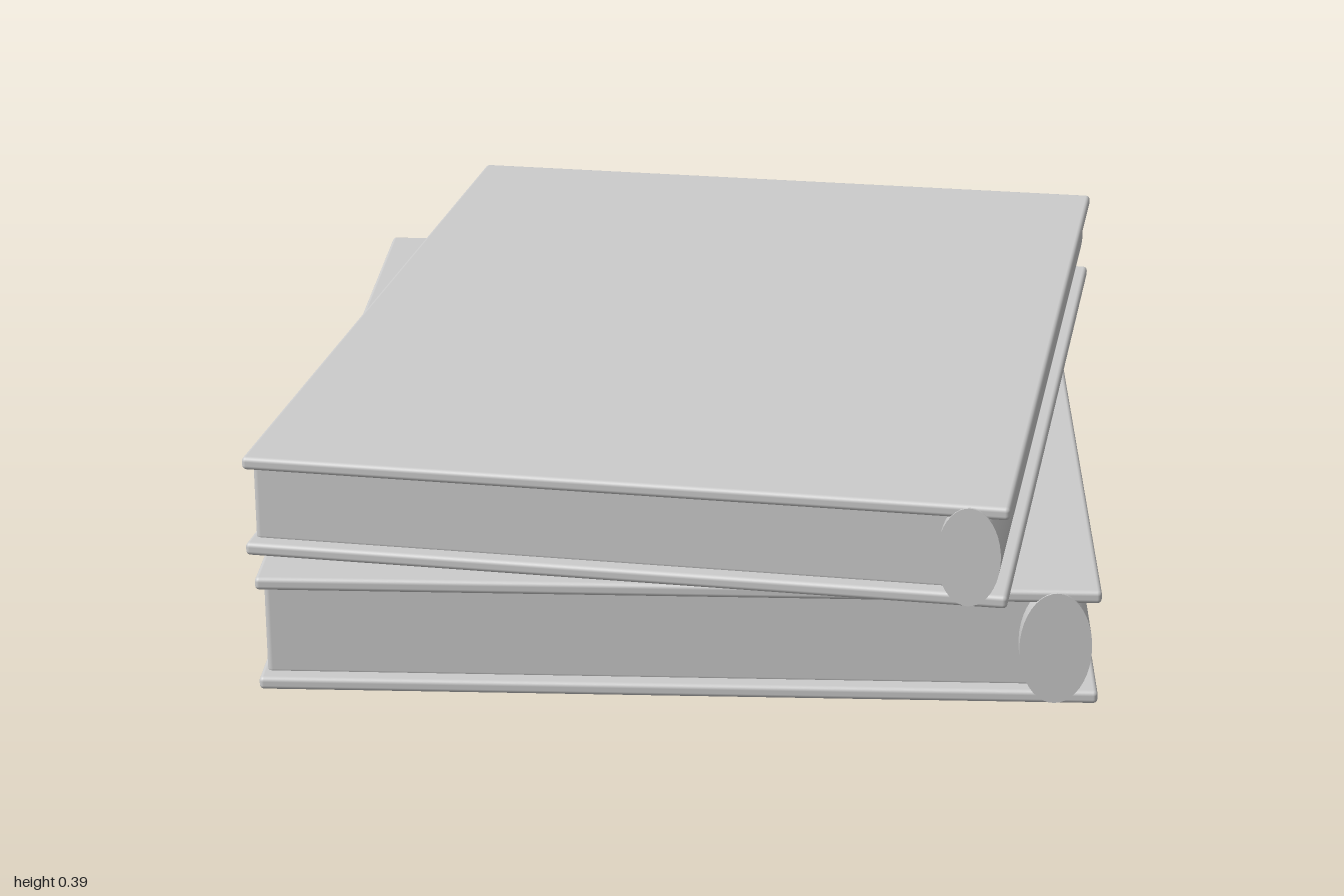
import * as THREE from 'three';
import { RoundedBoxGeometry } from 'three/addons/geometries/RoundedBoxGeometry.js';

const material = new THREE.MeshStandardMaterial({ color: 0xcccccc });

function addMesh(parent, name, geometry, x, y, z) {
  const mesh = new THREE.Mesh(geometry, material);
  mesh.name = name;
  mesh.position.set(x, y, z);
  parent.add(mesh);
  return mesh;
}

// A closed hardback lying flat, with its spine along +x
function createBook(name, { width, length, height, spineX, spineRadius }) {
  const book = new THREE.Group();
  book.name = name;
  const board = 0.023; // cover thickness
  const cover = new RoundedBoxGeometry(width, board, length, 3, 0.008);
  addMesh(book, 'bottomCover', cover, 0, board / 2, 0);
  addMesh(book, 'topCover', cover, 0, height - board / 2, 0);

  // Page block: slightly inset at the fore edge, head and tail
  const left = -width / 2 + 0.01;
  const pages = new RoundedBoxGeometry(spineX - left, height - board * 1.4, length - 0.06, 3, 0.01);
  addMesh(book, 'pages', pages, (left + spineX) / 2, height / 2, 0);

  // Rounded spine: an elliptical cylinder running the full length
  const spine = new THREE.CylinderGeometry(1, 1, length + 0.006, 40);
  spine.rotateX(Math.PI / 2);
  spine.scale(spineRadius, height / 2 - 0.003, 1);
  addMesh(book, 'spine', spine, spineX, height / 2, 0);
  return book;
}

export function createModel() {
  const model = new THREE.Group();
  model.name = 'bookStack';

  const lower = createBook('lowerBook', {
    width: 1.425, length: 1.905, height: 0.207, spineX: 0.638, spineRadius: 0.061,
  });
  lower.position.set(0, 0, -0.007);
  lower.rotation.y = 0.06;

  const upper = createBook('upperBook', {
    width: 1.305, length: 1.787, height: 0.18, spineX: 0.587, spineRadius: 0.053,
  });
  upper.position.set(0.029, 0.207, 0.051);
  upper.rotation.y = -0.077;

  model.add(lower, upper);
  return model;
}
